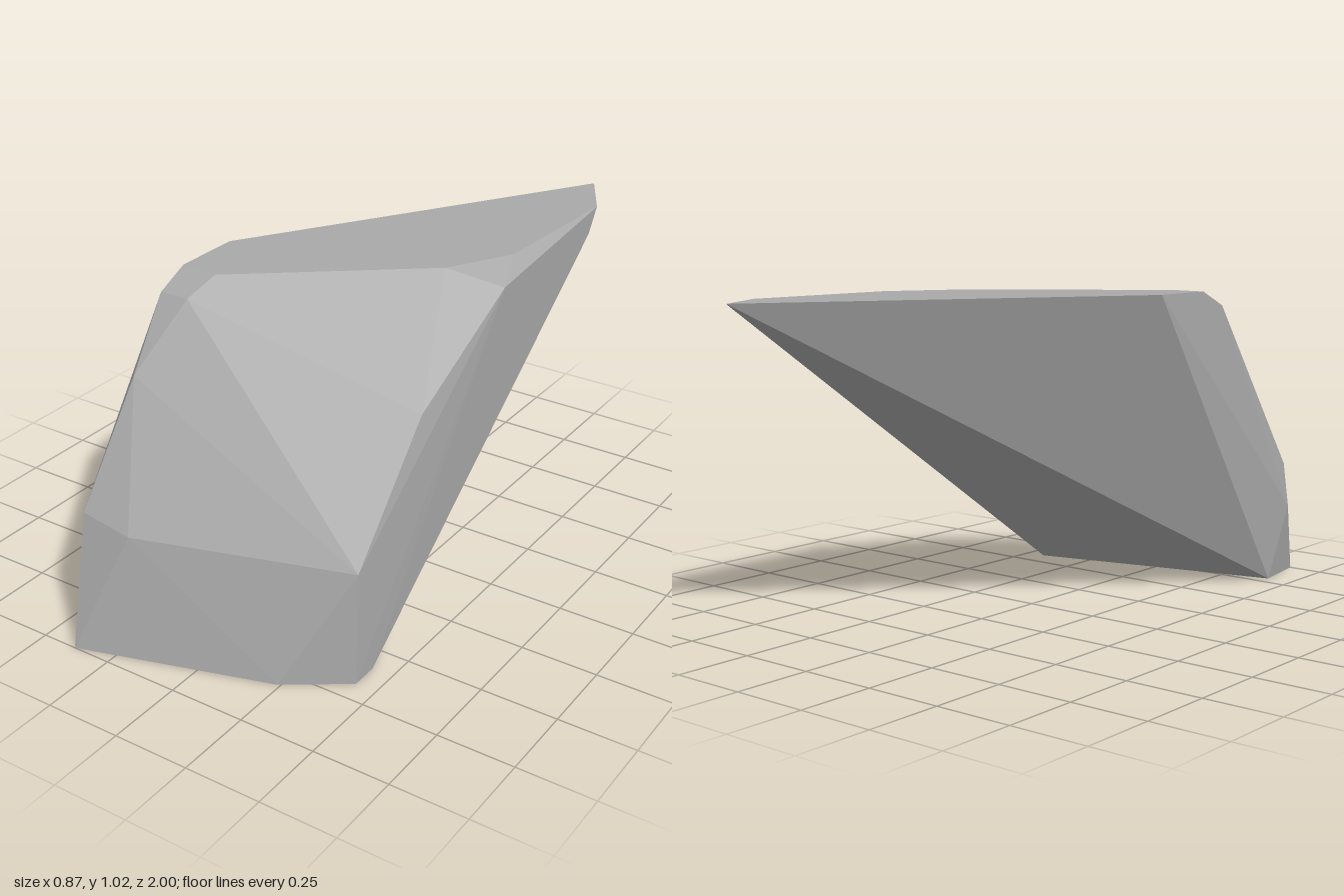
import * as THREE from 'three';
import { ConvexGeometry } from 'three/addons/geometries/ConvexGeometry.js';

export function createModel() {
  const group = new THREE.Group();
  group.name = 'rock';

  const stone = new THREE.MeshStandardMaterial({ color: 0xa8a8a8 });
  stone.name = 'grey stone';

  // Corners of the leaning boulder, level by level
  const corners = [
    // flat top
    [0.30, 1.02, -1.00], [0.41, 1.02, -0.80], [0.38, 1.02, -0.28], [0.26, 1.02, -0.07],
    [-0.29, 1.02, 0.36], [-0.42, 1.02, 0.35], [-0.42, 1.02, 0.12],
    // bevel under the top
    [-0.42, 0.97, 0.46], [-0.32, 0.97, 0.46], [0.43, 0.97, -0.14], [0.41, 0.94, -0.75],
    // bulging front
    [-0.39, 0.77, 0.64], [0.41, 0.72, 0.30],
    [-0.42, 0.40, 0.87], [-0.25, 0.37, 0.87], [0.42, 0.36, 0.65],
    [-0.435, 0.25, 0.88],
    // flat base
    [-0.38, 0, 1.00], [0.24, 0, 0.81], [0.43, 0, 0.68], [0.43, 0, 0.59], [-0.41, 0, 0.80],
  ];

  const boulder = new THREE.Mesh(
    new ConvexGeometry(corners.map((c) => new THREE.Vector3(...c))),
    stone
  );
  boulder.name = 'boulder';
  group.add(boulder);
  return group;
}
